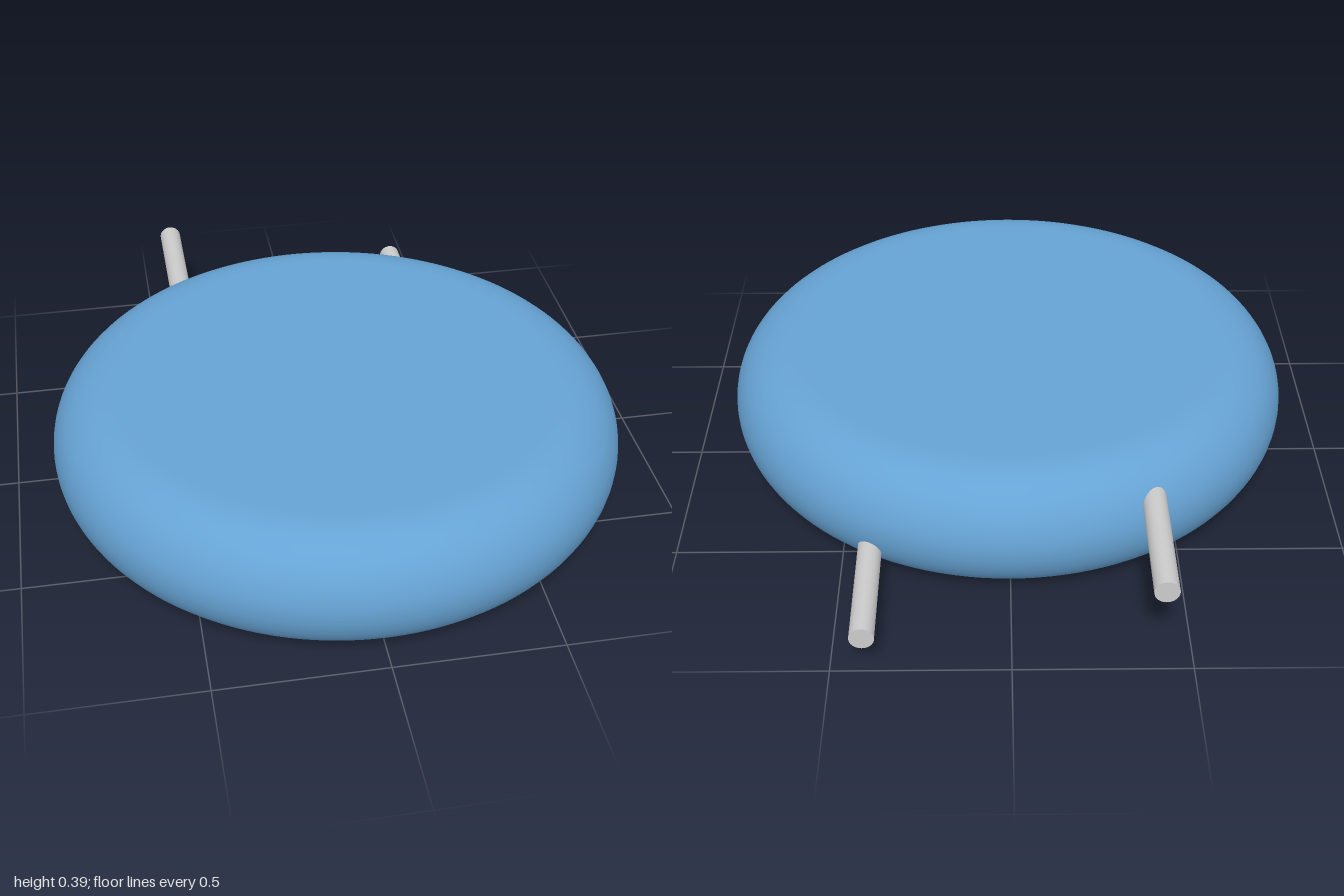
import * as THREE from 'three';

const HEIGHT = 0.39, RADIUS = 0.873, CENTER_Z = 0.125;

// Flat disc with a fully rounded rim
function makeBody() {
  const r = HEIGHT / 2, flat = RADIUS - r, steps = 24;
  const rim = [];
  for (let i = 0; i <= steps; i++) {
    const a = -Math.PI / 2 + (Math.PI * i) / steps;
    rim.push(new THREE.Vector2(flat + r * Math.cos(a), r + r * Math.sin(a)));
  }
  // Extra points beside the tangent keep the flat faces shading flat
  const profile = [
    new THREE.Vector2(0, 0), new THREE.Vector2(flat - 0.01, 0),
    ...rim,
    new THREE.Vector2(flat - 0.01, HEIGHT), new THREE.Vector2(0, HEIGHT),
  ];
  const body = new THREE.Mesh(
    new THREE.LatheGeometry(profile, 128),
    new THREE.MeshStandardMaterial({ color: 0x66a3d4 })
  );
  body.name = 'discBody';
  body.position.z = CENTER_Z;
  return body;
}

// Straight round wire from inside the body out to the back
function makeLead(name, x, y, material) {
  const back = -1, front = -0.55, radius = 0.035;
  const lead = new THREE.Mesh(
    new THREE.CylinderGeometry(radius, radius, front - back, 32),
    material
  );
  lead.name = name;
  lead.rotation.x = Math.PI / 2;
  lead.position.set(x, y, (front + back) / 2);
  return lead;
}

export function createModel() {
  const group = new THREE.Group();
  group.name = 'discComponent';
  const metal = new THREE.MeshStandardMaterial({ color: 0xcccccc });
  group.add(
    makeBody(),
    makeLead('leftLead', 0.407, 0.12, metal),
    makeLead('rightLead', -0.41, 0.28, metal)
  );
  return group;
}
